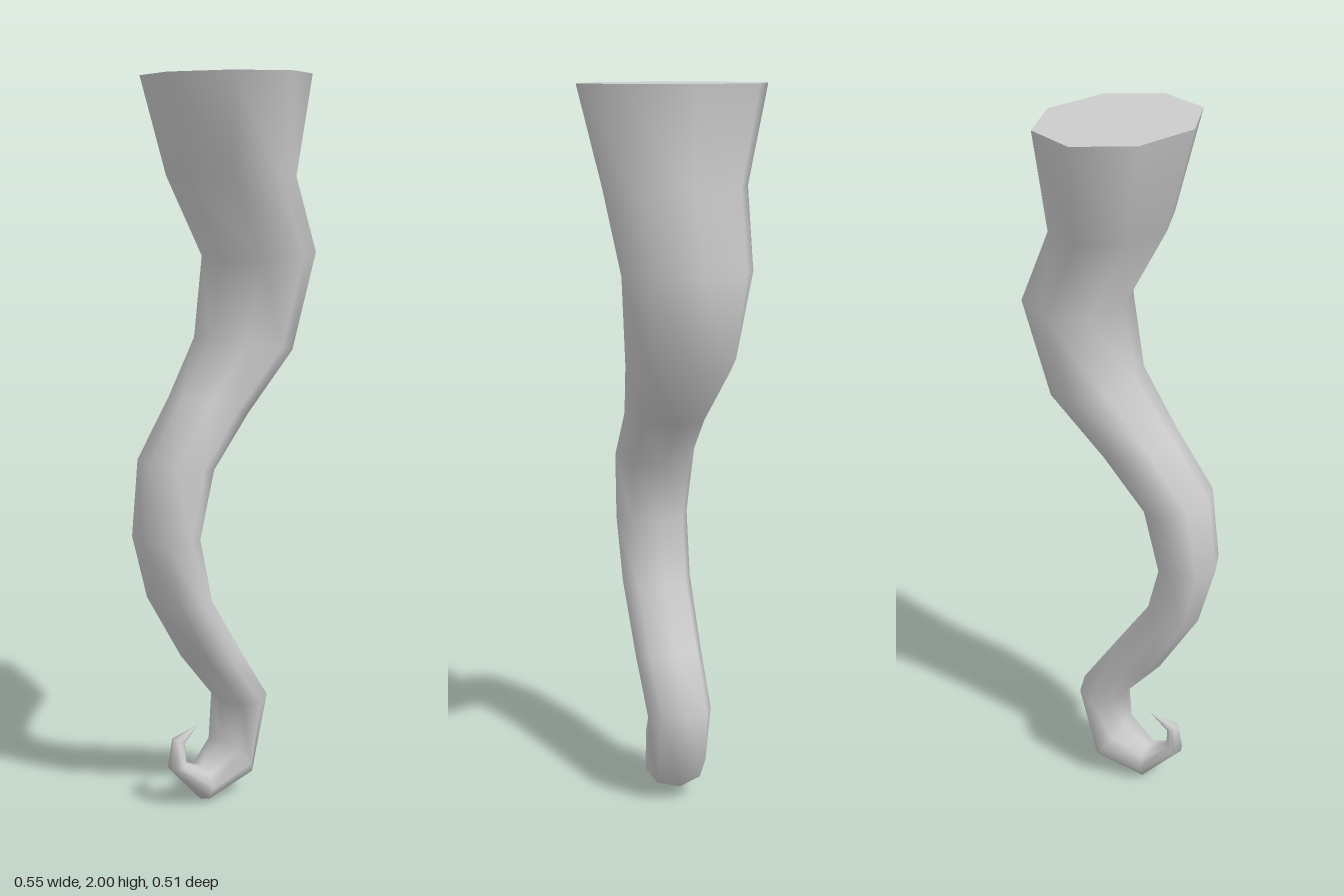
import * as THREE from 'three';

const SIDES = 8;

// Cross-sections from root to tip: [left x, left y, right x, right y, half depth]
const SECTIONS = [
  [-0.182, 2, 0.215, 2, 0.257],
  [-0.115, 1.74, 0.188, 1.74, 0.197],
  [0.003, 1.52, 0.274, 1.54, 0.177],
  [-0.035, 1.31, 0.2, 1.27, 0.153],
  [-0.14, 1.16, 0.05, 1.105, 0.121],
  [-0.25, 1.0, -0.07, 0.97, 0.117],
  [-0.275, 0.79, -0.115, 0.79, 0.106],
  [-0.228, 0.61, -0.072, 0.61, 0.101],
  [-0.11, 0.41, 0.04, 0.44, 0.097],
  [0.003, 0.275, 0.138, 0.29, 0.093],
  [0.0, 0.16, 0.075, 0.052, 0.09],
  [-0.075, 0.103, -0.077, 0.004, 0.058],
  [-0.138, 0.135, -0.185, 0.122, 0.03],
  [-0.14, 0.19, -0.172, 0.21, 0.018],
  [-0.083, 0.23, -0.083, 0.23, 0],
];

// One octagonal ring spanning the left and right points
function ringPoints([lx, ly, rx, ry, depth]) {
  return Array.from({ length: SIDES }, (_, j) => {
    const a = (j / SIDES) * Math.PI * 2;
    const c = Math.cos(a) / 2;
    return [(lx + rx) / 2 + c * (rx - lx), (ly + ry) / 2 + c * (ry - ly), depth * Math.sin(a)];
  });
}

function buildMesh(name, positions, indices, material) {
  const geometry = new THREE.BufferGeometry();
  geometry.setAttribute('position', new THREE.Float32BufferAttribute(positions.flat(), 3));
  geometry.setIndex(indices);
  geometry.computeVertexNormals();
  const mesh = new THREE.Mesh(geometry, material);
  mesh.name = name;
  return mesh;
}

export function createModel() {
  const group = new THREE.Group();
  group.name = 'tentacle';
  const material = new THREE.MeshStandardMaterial({ color: 0xcccccc });

  // Smooth curling skin
  const indices = [];
  for (let i = 0; i < SECTIONS.length - 1; i++) {
    for (let j = 0; j < SIDES; j++) {
      const k = (j + 1) % SIDES;
      const a = i * SIDES + j, b = i * SIDES + k;
      const c = a + SIDES, d = b + SIDES;
      indices.push(a, b, c);
      if (i < SECTIONS.length - 2) indices.push(b, d, c);
    }
  }
  group.add(buildMesh('tentacleSkin', SECTIONS.flatMap(ringPoints), indices, material));

  // Flat cap closing the root
  const capIndices = [];
  for (let j = 1; j < SIDES - 1; j++) capIndices.push(0, j + 1, j);
  group.add(buildMesh('rootCap', ringPoints(SECTIONS[0]), capIndices, material));

  return group;
}
